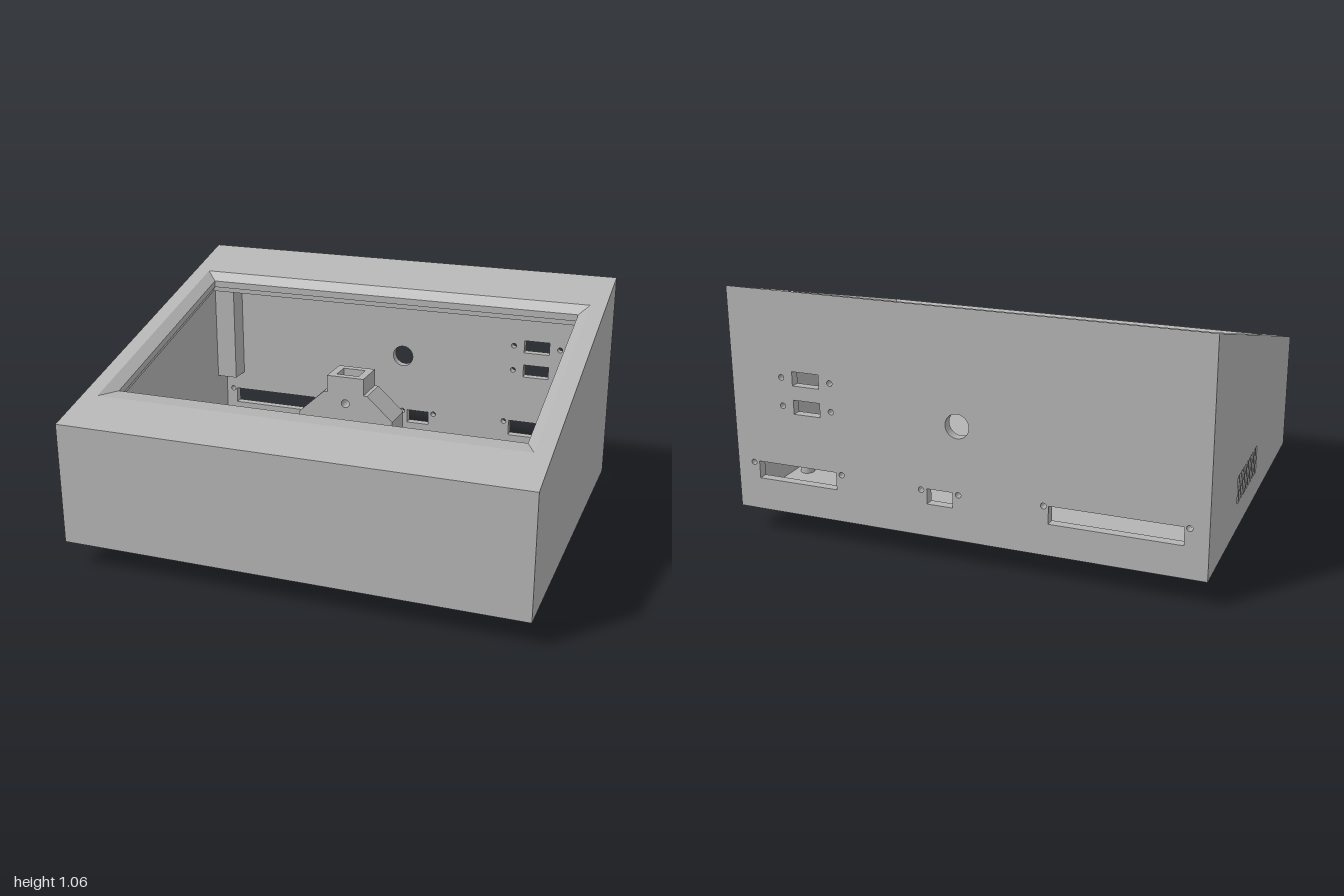
import * as THREE from 'three';

const SLOPE = 0.269;
const topY = z => 0.64 + (0.78 - z) * SLOPE; // height of the sloped top at a given depth
const LID = 0.09, WALL = 0.04;

function rectHole(shape, cx, cy, w, h) {
  const p = new THREE.Path();
  p.moveTo(cx - w / 2, cy - h / 2).lineTo(cx - w / 2, cy + h / 2);
  p.lineTo(cx + w / 2, cy + h / 2).lineTo(cx + w / 2, cy - h / 2).closePath();
  shape.holes.push(p);
}

function roundHole(shape, cx, cy, r) {
  shape.holes.push(new THREE.Path().absarc(cx, cy, r, 0, Math.PI * 2, true));
}

const polygon = pts => new THREE.Shape(pts.map(p => new THREE.Vector2(p[0], p[1])));
const extrude = (shape, depth) =>
  new THREE.ExtrudeGeometry(shape, { depth, bevelEnabled: false, curveSegments: 16 });

// Closed strip through rectangular rings that follow the sloped top
function slopedFrame(rings) {
  const corners = rings.map(([hx, zb, zf, off]) =>
    [[-hx, zf], [hx, zf], [hx, zb], [-hx, zb]].map(([x, z]) => [x, topY(z) + off, z]));
  const pos = [];
  corners.forEach((a, i) => {
    const b = corners[(i + 1) % corners.length];
    for (let k = 0; k < 4; k++) {
      const n = (k + 1) % 4;
      pos.push(...a[k], ...a[n], ...b[n], ...a[k], ...b[n], ...b[k]);
    }
  });
  const g = new THREE.BufferGeometry();
  g.setAttribute('position', new THREE.Float32BufferAttribute(pos, 3));
  g.computeVertexNormals();
  return g;
}

export function createModel() {
  const model = new THREE.Group();
  model.name = 'slopedEnclosure';
  const grey = new THREE.MeshStandardMaterial({ color: 0xb4b4b4, side: THREE.DoubleSide });
  grey.name = 'plain grey';
  const add = (name, geometry, x = 0, y = 0, z = 0) => {
    const m = new THREE.Mesh(geometry, grey);
    m.name = name;
    m.position.set(x, y, z);
    model.add(m);
    return m;
  };

  // Sloped lid with a bevelled window and a small recess under the lip
  add('slopedLid', slopedFrame([
    [1, -0.78, 0.78, 0],
    [0.93, -0.52, 0.56, 0],
    [0.885, -0.49, 0.46, -0.032],
    [0.885, -0.49, 0.46, -0.062],
    [0.9, -0.505, 0.475, -0.062],
    [0.9, -0.505, 0.475, -LID],
    [1, -0.78, 0.78, -LID],
  ]));

  // Floor with corner screw holes
  const floor = polygon([[-1, -0.78], [1, -0.78], [1, 0.78], [-1, 0.78]]);
  for (const x of [-0.965, 0.965]) for (const z of [-0.745, 0.745]) roundHole(floor, x, z, 0.015);
  add('floor', extrude(floor, 0.03).rotateX(-Math.PI / 2), 0, 0.11, 0);

  // Front wall
  const frontTop = topY(0.78) - LID;
  add('frontWall', new THREE.BoxGeometry(2, frontTop - 0.11, WALL), 0, (frontTop + 0.11) / 2, 0.78 - WALL / 2);

  // Back wall with connector slots, each flanked by two screw holes
  const backTop = topY(-0.78) - LID;
  const back = polygon([[-1, 0.11], [1, 0.11], [1, backTop], [-1, backTop]]);
  const ports = [ // x, y, width, height, screw distance, screw rise
    [0.66, 0.7, 0.12, 0.06, 0.11, 0],
    [0.66, 0.58, 0.12, 0.06, 0.11, 0],
    [0.72, 0.285, 0.36, 0.075, 0.205, 0.03],
    [0.08, 0.28, 0.11, 0.065, 0.08, 0.025],
    [-0.64, 0.28, 0.53, 0.075, 0.285, 0.035],
  ];
  for (const [x, y, w, h, d, rise] of ports) {
    rectHole(back, x, y, w, h);
    roundHole(back, x - d, y + rise, 0.012);
    roundHole(back, x + d, y + rise, 0.012);
  }
  roundHole(back, 0, 0.59, 0.05);
  add('backWall', extrude(back, WALL), 0, 0, -0.78);

  // Side walls, the right one with a row of vent slits
  for (const s of [1, -1]) {
    const side = polygon([[-0.78, 0.11], [0.78, 0.11], [0.78, frontTop], [-0.78, backTop]]);
    if (s < 0) for (let i = 0; i < 11; i++) rectHole(side, -0.29 + i * 0.036, 0.285, 0.018, 0.12);
    add(s > 0 ? 'leftWall' : 'rightWall', extrude(side, WALL).rotateY(-Math.PI / 2), s > 0 ? 1 : -1 + WALL, 0, 0);
  }

  // Screw blocks in the upper corners
  for (const x of [-0.91, 0.91]) for (const z of [-0.69, 0.69]) {
    const top = topY(z + 0.05) - 0.05, bottom = 0.41;
    add('cornerBlock', new THREE.BoxGeometry(0.1, top - bottom, 0.1), x, (top + bottom) / 2, z);
  }

  // Hollow circuit board standoffs
  const standoff = new THREE.LatheGeometry(
    [[0.03, 0], [0.03, 0.035], [0.024, 0.05], [0.013, 0.05], [0.013, 0]].map(p => new THREE.Vector2(...p)), 20);
  const spots = [[-0.5, -0.3], [-0.5, 0.07], [0.37, -0.41], [0.37, -0.07], [0.9, -0.41], [0.9, -0.07], [0.25, 0.285]];
  for (const [x, z] of spots) add('standoff', standoff, x, 0.14, z);

  // Twelve-sided plate on the floor with blind holes
  const ring12 = r => Array.from({ length: 12 }, (_, i) =>
    [r * Math.cos(i * Math.PI / 6), r * Math.sin(i * Math.PI / 6)]);
  const plate = polygon(ring12(0.36));
  for (const x of [-0.08, 0.08]) for (const z of [-0.235, 0.235]) roundHole(plate, x, z, 0.033);
  roundHole(plate, -0.285, 0, 0.016);
  add('mountPlate', extrude(plate, 0.02).rotateX(-Math.PI / 2), 0, 0.14, 0);

  // Twelve-sided rim under the floor
  const rim = polygon(ring12(0.365));
  roundHole(rim, 0, 0, 0.325);
  add('lowerRim', extrude(rim, 0.04).rotateX(-Math.PI / 2), 0, 0.07, 0);

  // Threaded collar with two tapered ribs
  const collar = new THREE.Shape().absarc(0, 0, 0.2, 0, Math.PI * 2, false);
  roundHole(collar, 0, 0, 0.165);
  const collarGeometry = new THREE.ExtrudeGeometry(collar, { depth: 0.11, bevelEnabled: false, curveSegments: 40 });
  add('collar', collarGeometry.rotateX(-Math.PI / 2));
  for (const y of [0.02, 0.045, 0.07])
    add('thread', new THREE.TorusGeometry(0.165, 0.008, 6, 40).rotateX(Math.PI / 2), 0, y, 0);
  for (const s of [1, -1]) {
    const rib = polygon([[s * 0.18, 0], [s * 0.2, 0], [s * 0.22, 0.11], [s * 0.18, 0.11]]);
    add('collarRib', extrude(rib, 0.05), 0, 0, -0.025);
  }

  // Chamfered arch with an octagonal opening
  const arch = polygon([
    [-0.215, 0.14], [-0.12, 0.14], [-0.12, 0.47], [-0.055, 0.54], [0.055, 0.54], [0.12, 0.47],
    [0.12, 0.14], [0.215, 0.14], [0.215, 0.555], [0.1, 0.66], [-0.1, 0.66], [-0.215, 0.555]]);
  roundHole(arch, 0, 0.615, 0.018);
  add('arch', extrude(arch, 0.15), 0, 0, -0.075);

  // Square socket on top of the arch
  const socket = polygon([[-0.083, -0.075], [0.083, -0.075], [0.083, 0.075], [-0.083, 0.075]]);
  rectHole(socket, 0, 0, 0.1, 0.085);
  add('socket', extrude(socket, 0.085).rotateX(-Math.PI / 2), 0, 0.65, 0);

  return model;
}
